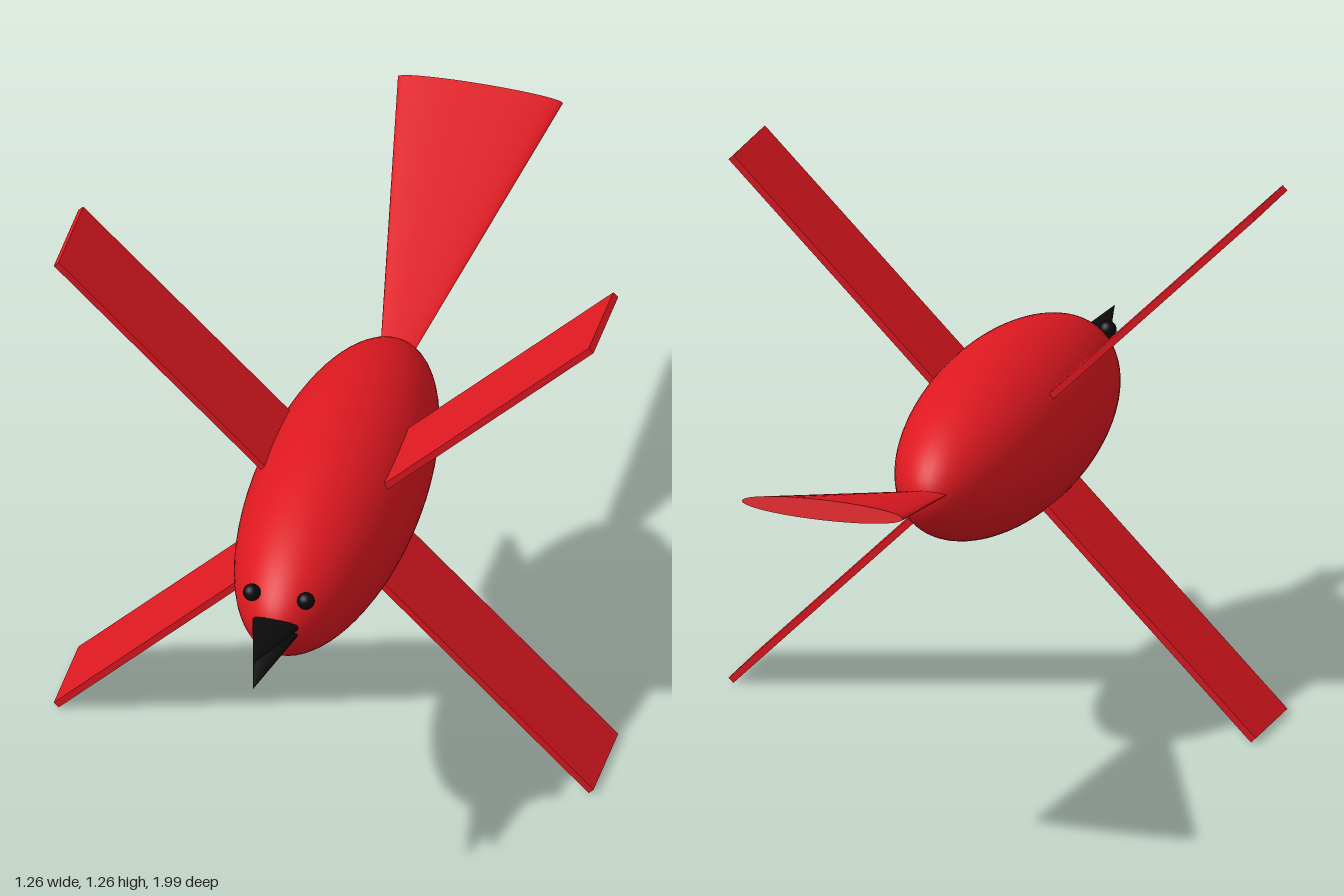
import * as THREE from 'three';

const red = new THREE.MeshStandardMaterial({ color: 0xdd1820 });
const black = new THREE.MeshStandardMaterial({ color: 0x0a0a0a });

function part(name, geometry, material, parent) {
  const mesh = new THREE.Mesh(geometry, material);
  mesh.name = name;
  parent.add(mesh);
  return mesh;
}

// Flattened cone from the centre of its wide end to its tip, in the x = 0 plane
function flatCone(name, base, tip, halfWidth, halfThick, material, parent) {
  const [by, bz] = base, [ty, tz] = tip;
  const length = Math.hypot(ty - by, tz - bz);
  const geometry = new THREE.ConeGeometry(1, length, 40);
  geometry.scale(halfWidth, 1, halfThick);
  const mesh = part(name, geometry, material, parent);
  mesh.position.set(0, (by + ty) / 2, (bz + tz) / 2);
  mesh.rotation.x = Math.atan2(tz - bz, ty - by);
  return mesh;
}

export function createModel() {
  const bird = new THREE.Group();
  bird.name = 'bird';

  // Egg-shaped body
  const body = part('body', new THREE.SphereGeometry(1, 64, 40), red, bird);
  body.scale.set(0.19, 0.205, 0.545);
  body.position.set(0.003, 0.645, 0.275);

  // Two straight boards cross inside the body to make four wings
  for (const side of [-1, 1]) {
    const board = part('wingBoard', new THREE.BoxGeometry(1.76, 0.016, 0.215), red, bird);
    board.position.set(0, 0.63, 0.27);
    board.rotation.z = side * Math.PI / 4;
  }

  // Fan tail, widening to the rear
  flatCone('tail', [0.862, -0.99], [0.612, -0.08], 0.192, 0.023, red, bird);

  // Open beak with a small tongue
  flatCone('upperBeak', [0.664, 0.79], [0.7, 0.995], 0.055, 0.022, black, bird);
  flatCone('lowerBeak', [0.648, 0.79], [0.628, 0.995], 0.055, 0.021, black, bird);
  flatCone('tongue', [0.655, 0.8], [0.66, 0.9], 0.03, 0.01, red, bird);

  // Eyes
  for (const side of [-1, 1]) {
    const eye = part('eye', new THREE.SphereGeometry(0.02, 24, 16), black, bird);
    eye.position.set(side * 0.063, 0.723, 0.768);
  }
  return bird;
}
